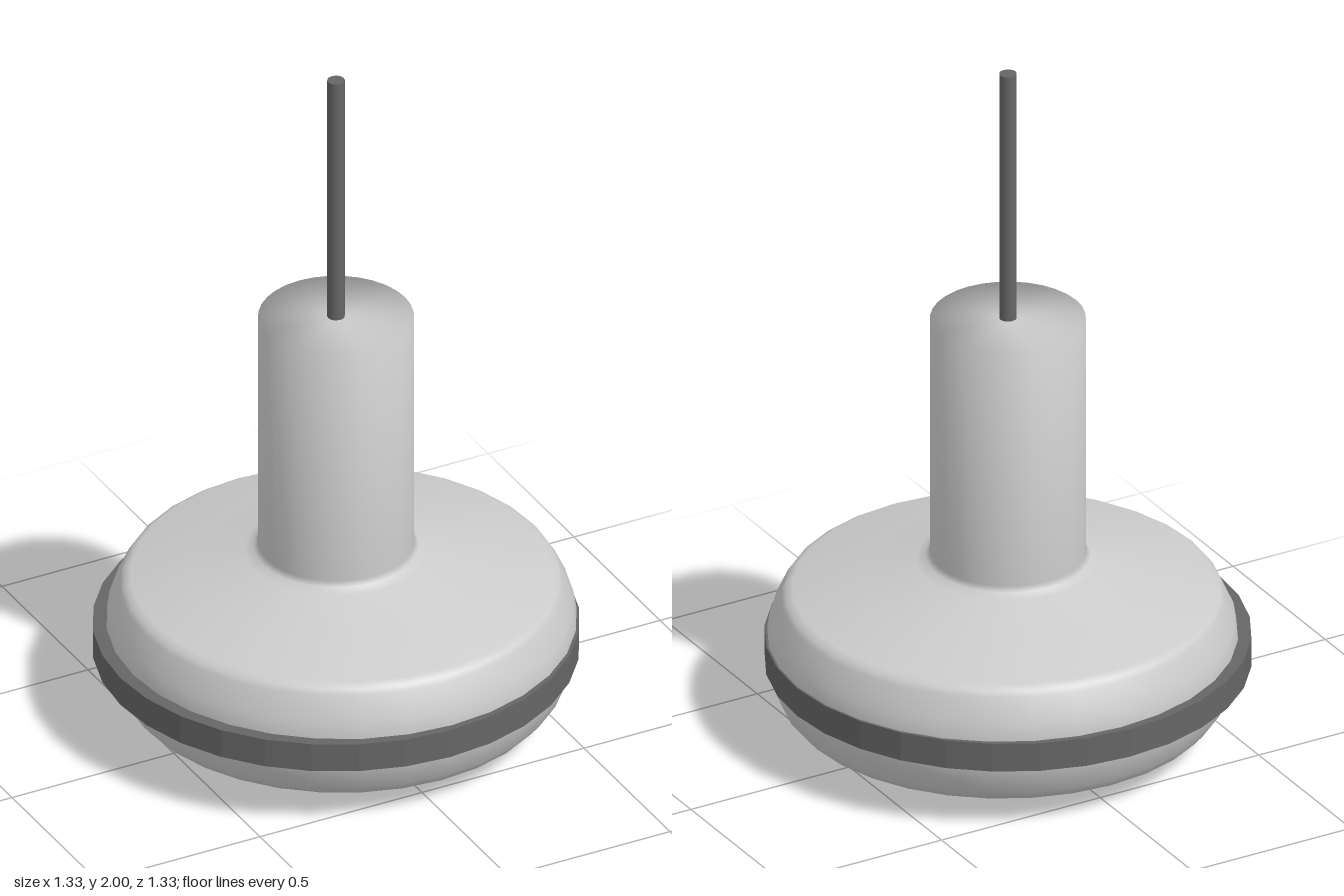
import * as THREE from 'three';

const SIDES = 32;
const grey = new THREE.MeshStandardMaterial({ color: 0xcccccc });
const dark = new THREE.MeshStandardMaterial({ color: 0x666666 });
const darkFlat = new THREE.MeshStandardMaterial({ color: 0x666666, flatShading: true });

// Smooth turned part; profile runs from bottom to top as [radius, height]
function turned(name, profile) {
  const points = profile.map(([r, y]) => new THREE.Vector2(r, y));
  const mesh = new THREE.Mesh(new THREE.LatheGeometry(points, SIDES), grey);
  mesh.name = name;
  return mesh;
}

// The wide part of the shade sits slightly off the axis of the neck
function skew(mesh, offset) {
  const p = mesh.geometry.attributes.position;
  for (let i = 0; i < p.count; i++) {
    const r = Math.hypot(p.getX(i), p.getZ(i));
    p.setX(i, p.getX(i) + offset * THREE.MathUtils.smoothstep(r, 0.22, 0.64));
  }
  return mesh;
}

function cylinder(name, radius, y0, y1, sides, material) {
  const mesh = new THREE.Mesh(new THREE.CylinderGeometry(radius, radius, y1 - y0, sides), material);
  mesh.position.y = (y0 + y1) / 2;
  mesh.name = name;
  return mesh;
}

export function createModel() {
  const lamp = new THREE.Group();
  lamp.name = 'pendantLamp';

  // Shallow bowl closing the shade from below
  lamp.add(skew(turned('lowerShade', [
    [0, 0], [0.12, 0.005], [0.3, 0.02], [0.45, 0.043], [0.55, 0.065],
    [0.585, 0.08], [0.61, 0.11], [0.63, 0.16], [0.642, 0.2], [0.643, 0.24],
  ]), 0.017));

  // Sloping shade running up into the neck with its closed top
  lamp.add(skew(turned('upperShade', [
    [0.643, 0.24], [0.643, 0.285], [0.635, 0.335], [0.605, 0.4], [0.595, 0.414], [0.575, 0.426],
    [0.4, 0.472], [0.25, 0.51], [0.225, 0.521], [0.213, 0.535], [0.213, 1.25], [0, 1.25],
  ]), 0.017));

  // Faceted band around the widest part
  lamp.add(cylinder('band', 0.665, 0.2, 0.285, SIDES, darkFlat));

  // Hanging cord
  lamp.add(cylinder('cord', 0.024, 1.24, 2, 16, dark));

  return lamp;
}
